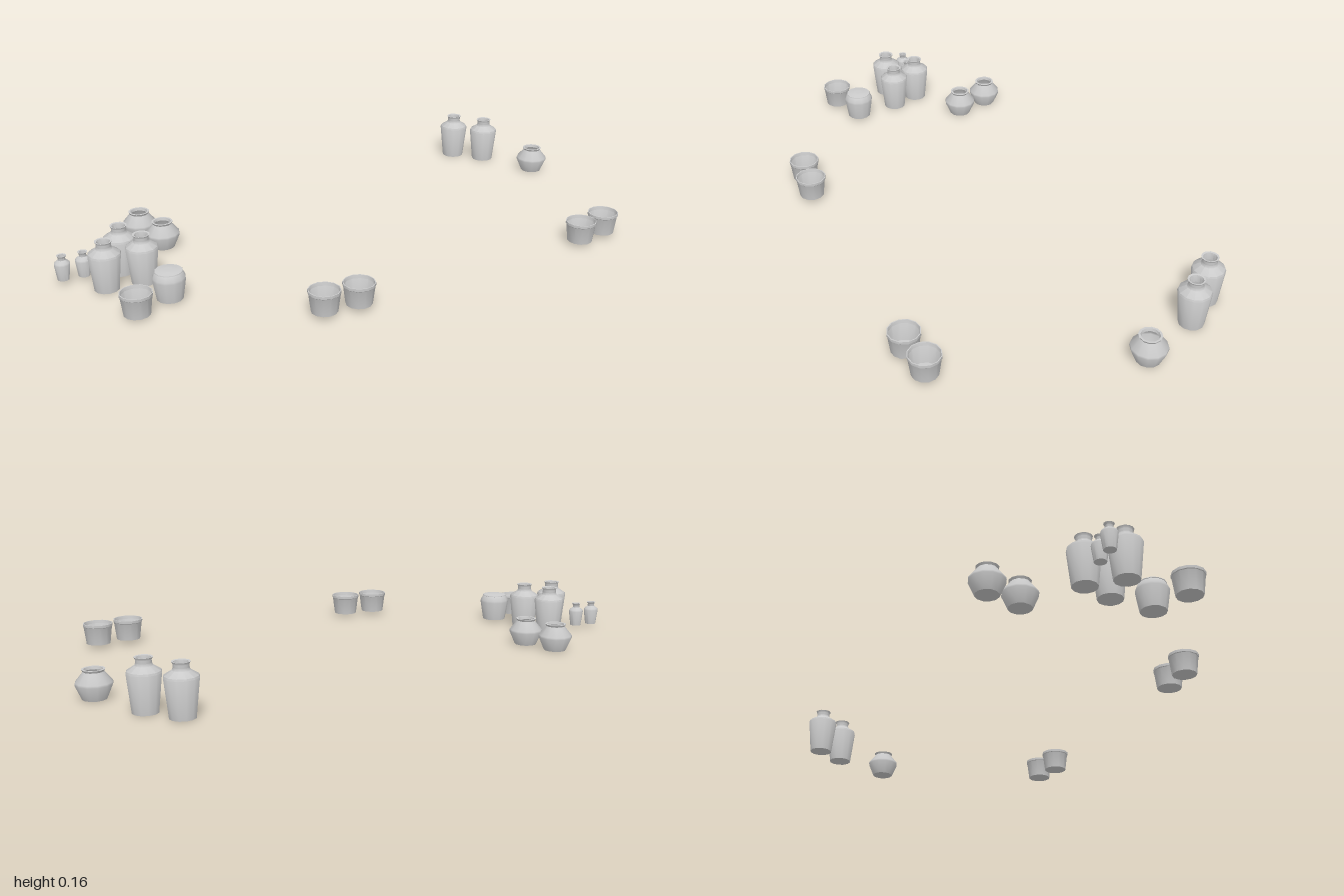
import * as THREE from 'three';
import { toCreasedNormals } from 'three/addons/utils/BufferGeometryUtils.js';

const SIDES = 12;
const material = new THREE.MeshStandardMaterial({ color: 0xcccccc, side: THREE.DoubleSide });

// Each vessel: [radius, height] profile from the base centre to the rim, and its [x, z] places
const VESSELS = {
  tallJar: {
    profile: [[0, 0.002], [0.04, 0.002], [0.053, 0.121], [0.051, 0.127], [0.027, 0.142],
      [0.024, 0.15], [0.024, 0.16], [0.028, 0.167], [0.022, 0.166], [0.02, 0.158], [0.02, 0.142]],
    places: [[-0.786, -0.03], [-0.86, 0.068], [-0.74, 0.068], [0.748, -0.523], [0.833, -0.432]],
  },
  wideJar: {
    profile: [[0, 0.002], [0.038, 0.002], [0.058, 0.048], [0.057, 0.055], [0.034, 0.083],
      [0.032, 0.087], [0.036, 0.094], [0.029, 0.094], [0.027, 0.085]],
    places: [[-0.652, -0.28], [-0.605, -0.163], [0.94, -0.236]],
  },
  smallBottle: {
    profile: [[0, 0.015], [0.019, 0.015], [0.026, 0.068], [0.024, 0.074], [0.012, 0.083],
      [0.012, 0.092], [0.016, 0.098], [0.011, 0.097], [0.01, 0.083]],
    places: [[-0.974, -0.032], [-0.907, -0.032]],
  },
  bowl: {
    profile: [[0, 0.015], [0.042, 0.015], [0.05, 0.076], [0.052, 0.078], [0.052, 0.087], [0.049, 0.087], [0.047, 0.076]],
    places: [[-0.312, 0.518], [-0.196, 0.518], [0.69, 0.429], [0.803, 0.4]],
  },
  lowBowl: {
    profile: [[0, 0.008], [0.042, 0.008], [0.05, 0.07], [0.052, 0.072], [0.052, 0.081], [0.049, 0.081], [0.047, 0.07]],
    places: [[-0.823, 0.282]],
  },
  lidlessPot: {
    profile: [[0, 0.007], [0.042, 0.007], [0.053, 0.075], [0.052, 0.082], [0.044, 0.098], [0.042, 0.1]],
    places: [[-0.702, 0.223]],
  },
  // Shallow domed lid resting on the pot
  potLid: {
    profile: [[0.041, 0.097], [0.045, 0.099], [0.044, 0.102], [0.025, 0.105], [0.008, 0.107], [0, 0.108]],
    places: [[-0.702, 0.223]],
  },
};

function turned(profile) {
  const points = profile.map(([r, y]) => new THREE.Vector2(r, y));
  return toCreasedNormals(new THREE.LatheGeometry(points, SIDES), 0.75);
}

export function createModel() {
  const group = new THREE.Group();
  group.name = 'pottery';
  for (const [name, { profile, places }] of Object.entries(VESSELS)) {
    const geometry = turned(profile);
    for (const [x, z] of places) {
      const vessel = new THREE.Mesh(geometry, material);
      vessel.name = name === 'lidlessPot' ? 'lidJar' : name;
      vessel.position.set(x, 0, z);
      group.add(vessel);
    }
  }
  return group;
}
